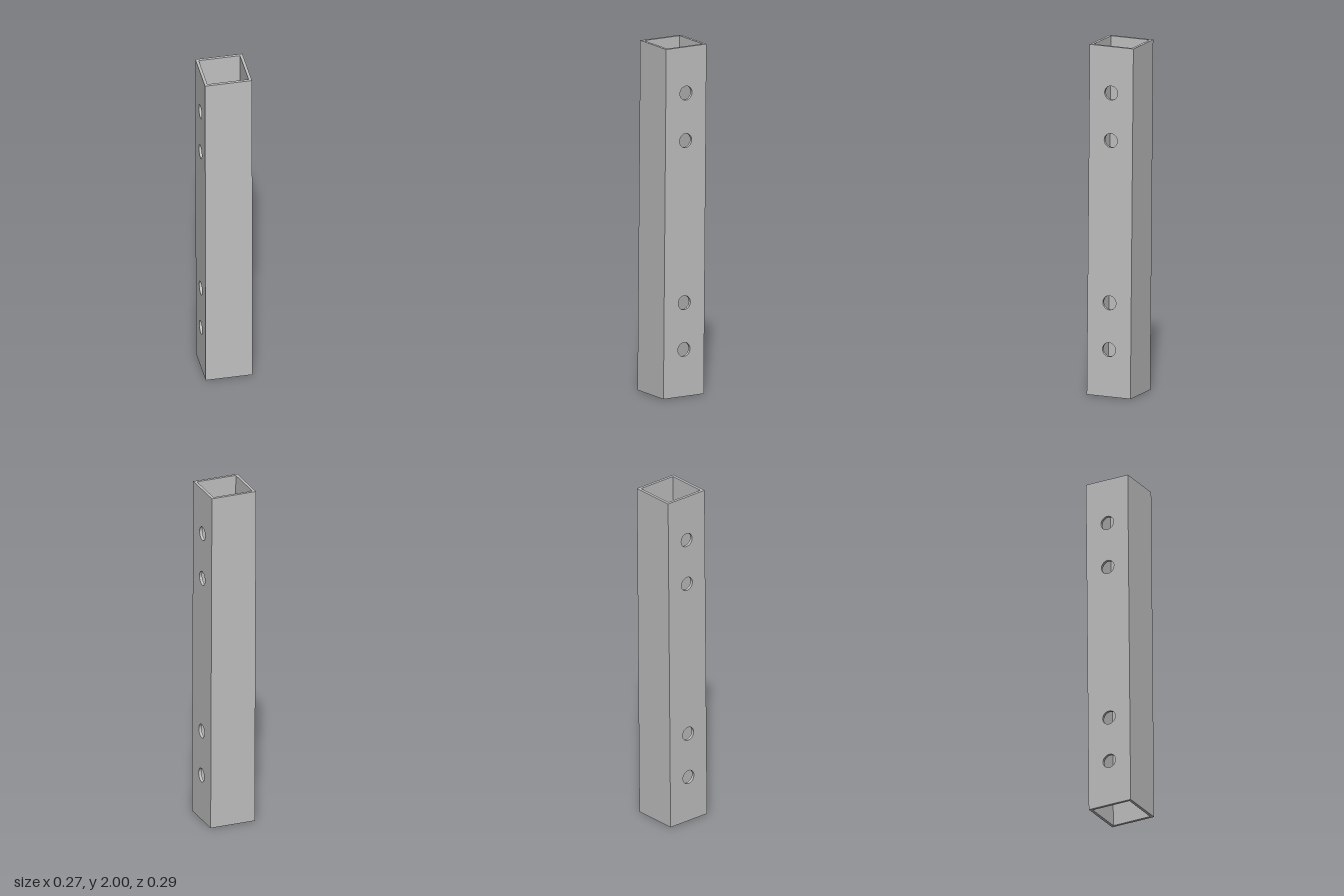
import * as THREE from 'three';
import { toCreasedNormals } from 'three/addons/utils/BufferGeometryUtils.js';

const WIDTH = 0.267, WALL = 0.0165, LENGTH = 1.9976;
const TILT = 0.0092; // slight lean towards the back
const HOLE_RADIUS = 0.04;
const HOLE_HEIGHTS = [-0.73, -0.463, 0.463, 0.734];

// Flat wall with four round bolt holes, lying in the YZ plane
function drilledWall() {
  const h = LENGTH / 2, w = WIDTH / 2;
  const shape = new THREE.Shape();
  shape.moveTo(-w, -h).lineTo(w, -h).lineTo(w, h).lineTo(-w, h).closePath();
  for (const y of HOLE_HEIGHTS) {
    shape.holes.push(new THREE.Path().absarc(0, y, HOLE_RADIUS, 0, Math.PI * 2, true));
  }
  const geometry = new THREE.ExtrudeGeometry(shape, { depth: WALL, bevelEnabled: false, curveSegments: 16 });
  geometry.translate(0, 0, -WALL / 2).rotateY(Math.PI / 2);
  return toCreasedNormals(geometry, 0.6);
}

export function createModel() {
  const steel = new THREE.MeshStandardMaterial({ color: 0xc0c0c0 });
  steel.name = 'steel grey';

  const tube = new THREE.Group();
  tube.name = 'squareTube';
  const sideGeometry = drilledWall();
  const plainGeometry = new THREE.BoxGeometry(WIDTH - 2 * WALL, LENGTH, WALL);
  const offset = (WIDTH - WALL) / 2;

  const add = (name, geometry, x, z) => {
    const mesh = new THREE.Mesh(geometry, steel);
    mesh.name = name;
    mesh.position.set(x, 0, z);
    tube.add(mesh);
  };
  // Drilled side walls, with plain walls between them
  add('leftWall', sideGeometry, offset, 0);
  add('rightWall', sideGeometry, -offset, 0);
  add('frontWall', plainGeometry, 0, offset);
  add('backWall', plainGeometry, 0, -offset);

  // Lean the whole tube and rest its lowest edge on the ground
  tube.rotation.x = -TILT;
  tube.position.y = 1;

  const model = new THREE.Group();
  model.name = 'drilledSquareTube';
  model.add(tube);
  return model;
}
